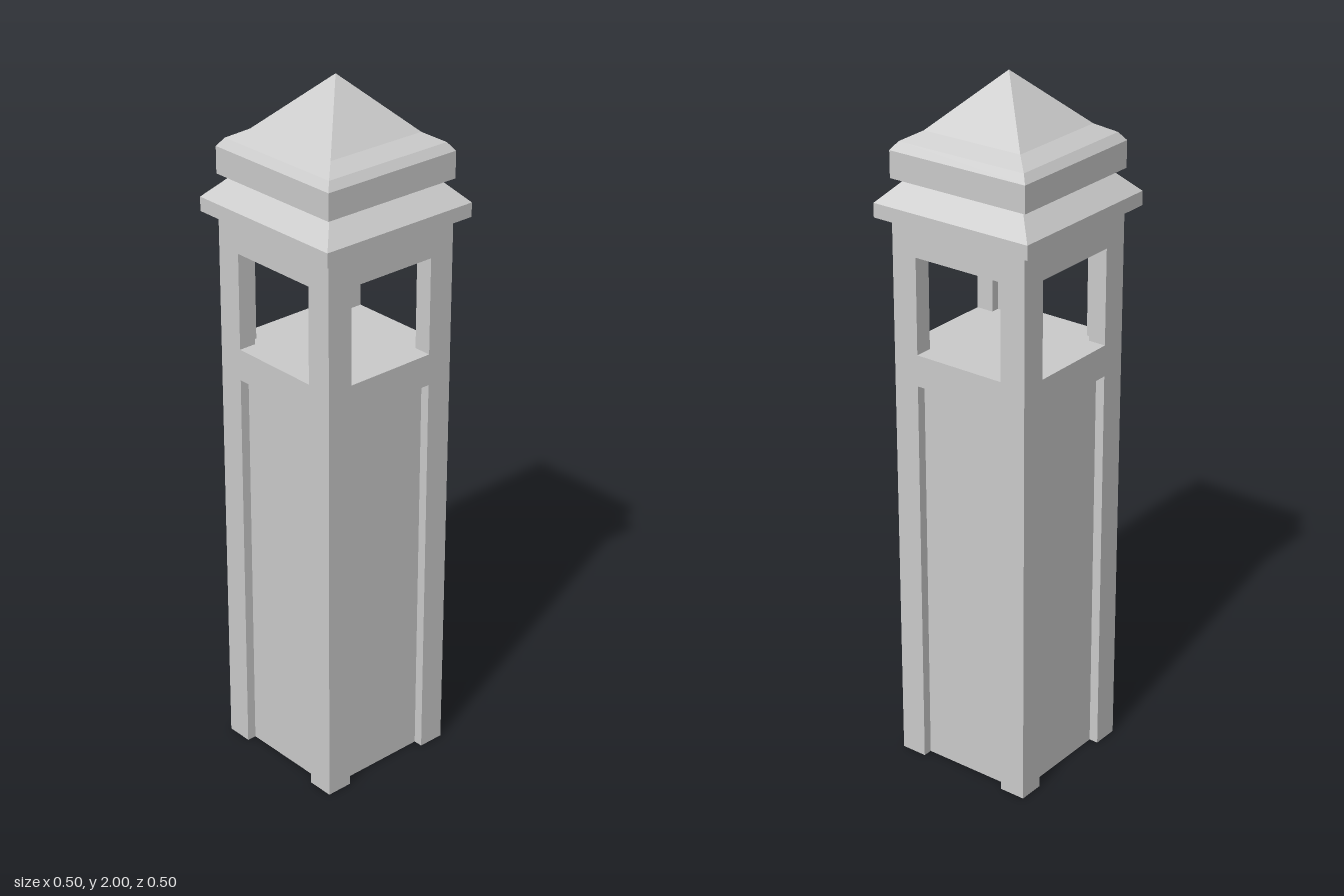
import * as THREE from 'three';

const HALF = 0.215;   // half width of the tower
const OPEN = 0.138;   // half width of panels and windows
const RECESS = 0.027; // depth of the sunken panels
const WALL = 0.052;   // wall thickness at the windows

const material = new THREE.MeshStandardMaterial({ color: 0xcccccc, flatShading: true, side: THREE.DoubleSide });

function add(parent, name, geometry) {
  const mesh = new THREE.Mesh(geometry, material);
  mesh.name = name;
  parent.add(mesh);
  return mesh;
}

// Square block between two heights
function block(y0, y1) {
  return new THREE.BoxGeometry(HALF * 2, y1 - y0, HALF * 2).translate(0, (y0 + y1) / 2, 0);
}

// Four-sided stack from [half width, height] pairs
function squareLoft(profile) {
  const points = profile.map(([w, y]) => new THREE.Vector2(w * Math.SQRT2, y));
  return new THREE.LatheGeometry(points, 4, Math.PI / 4);
}

// Open-ended wall standing on a closed outline of [x, z] points
function wallFromOutline(outline, y0, y1) {
  const positions = [];
  outline.forEach(([ax, az], i) => {
    const [bx, bz] = outline[(i + 1) % outline.length];
    positions.push(ax, y0, az, bx, y0, bz, bx, y1, bz, ax, y0, az, bx, y1, bz, ax, y1, az);
  });
  const geometry = new THREE.BufferGeometry();
  geometry.setAttribute('position', new THREE.Float32BufferAttribute(positions, 3));
  geometry.computeVertexNormals();
  return geometry;
}

export function createModel() {
  const tower = new THREE.Group();
  tower.name = 'tower';

  // Hollow shaft with a sunken panel on each side, open underneath
  const side = [[-HALF, HALF], [-OPEN, HALF], [-OPEN, HALF - RECESS], [OPEN, HALF - RECESS], [OPEN, HALF]];
  const outline = [];
  for (let i = 0; i < 4; i++) {
    for (const [x, z] of side) {
      outline.push([[x, z], [z, -x], [-x, -z], [-z, x]][i]);
    }
  }
  add(tower, 'panelledShaft', wallFromOutline(outline, 0, 1.16));

  // Solid band whose top is the floor of the lookout
  add(tower, 'lookoutFloor', block(1.16, 1.25));

  // L-shaped corner piers between the windows
  const inner = HALF - WALL;
  const pier = new THREE.Shape([
    [OPEN, inner], [inner, inner], [inner, OPEN], [HALF, OPEN], [HALF, HALF], [OPEN, HALF],
  ].map(([x, y]) => new THREE.Vector2(x, y)));
  const pierGeometry = new THREE.ExtrudeGeometry(pier, { depth: 0.275, bevelEnabled: false });
  pierGeometry.rotateX(-Math.PI / 2).translate(0, 1.25, 0);
  for (let i = 0; i < 4; i++) {
    add(tower, 'cornerPier', pierGeometry).rotation.y = i * Math.PI / 2;
  }

  // Lintel above the windows
  add(tower, 'lintel', block(1.525, 1.62));

  // Projecting cornice with a sloped top
  add(tower, 'cornice', squareLoft([[0.2, 1.62], [0.248, 1.62], [0.248, 1.66], [0.185, 1.725]]));

  // Cap with rounded shoulders rising to a pyramid
  add(tower, 'pyramidRoof', squareLoft([
    [0, 1.725], [0.217, 1.725], [0.217, 1.8], [0.2, 1.823], [0.154, 1.849], [0, 2],
  ]));

  return tower;
}
